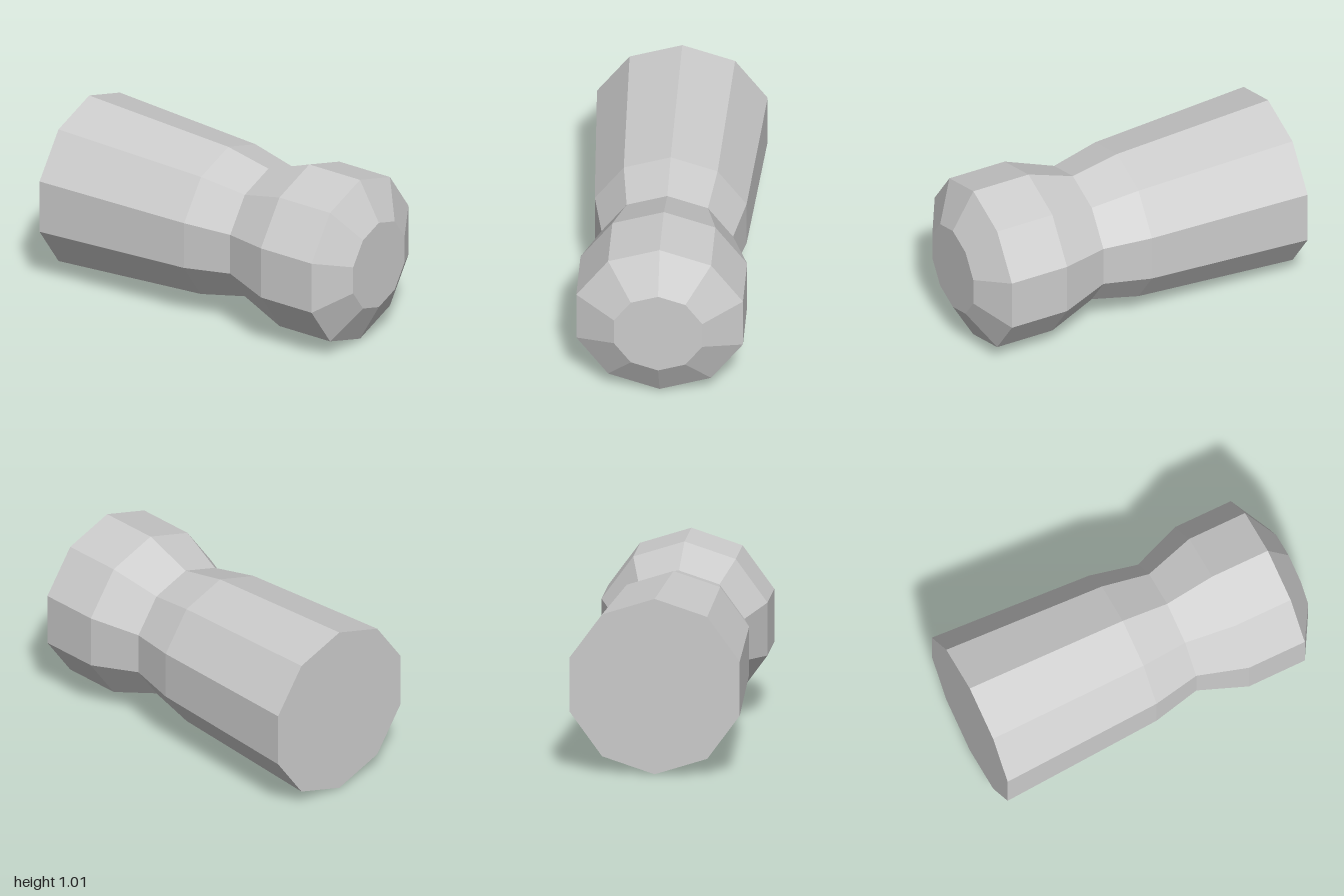
import * as THREE from 'three';

const SIDES = 10;
const AXIS_Y = 0.508;

// Ten-sided turned part along z; profile is [radius, z] from back to front
function turned(name, profile, material) {
  const points = profile.map(([r, z]) => new THREE.Vector2(r, z));
  const geometry = new THREE.LatheGeometry(points, SIDES);
  geometry.rotateX(Math.PI / 2);
  const mesh = new THREE.Mesh(geometry, material);
  mesh.name = name;
  mesh.position.y = AXIS_Y;
  return mesh;
}

export function createModel() {
  const group = new THREE.Group();
  group.name = 'facetedPeg';
  const material = new THREE.MeshStandardMaterial({
    color: 0xcccccc, flatShading: true, side: THREE.DoubleSide,
  });

  // Long tapered body, widest at its flat back end
  group.add(turned('body', [
    [0, -1], [0.506, -1], [0.45, -0.04], [0.39, 0.238],
  ], material));

  // Rounded head with a chamfered nose, meeting the body at the waist
  group.add(turned('head', [
    [0.39, 0.238], [0.494, 0.52], [0.494, 0.87], [0.262, 1], [0, 1],
  ], material));

  return group;
}
